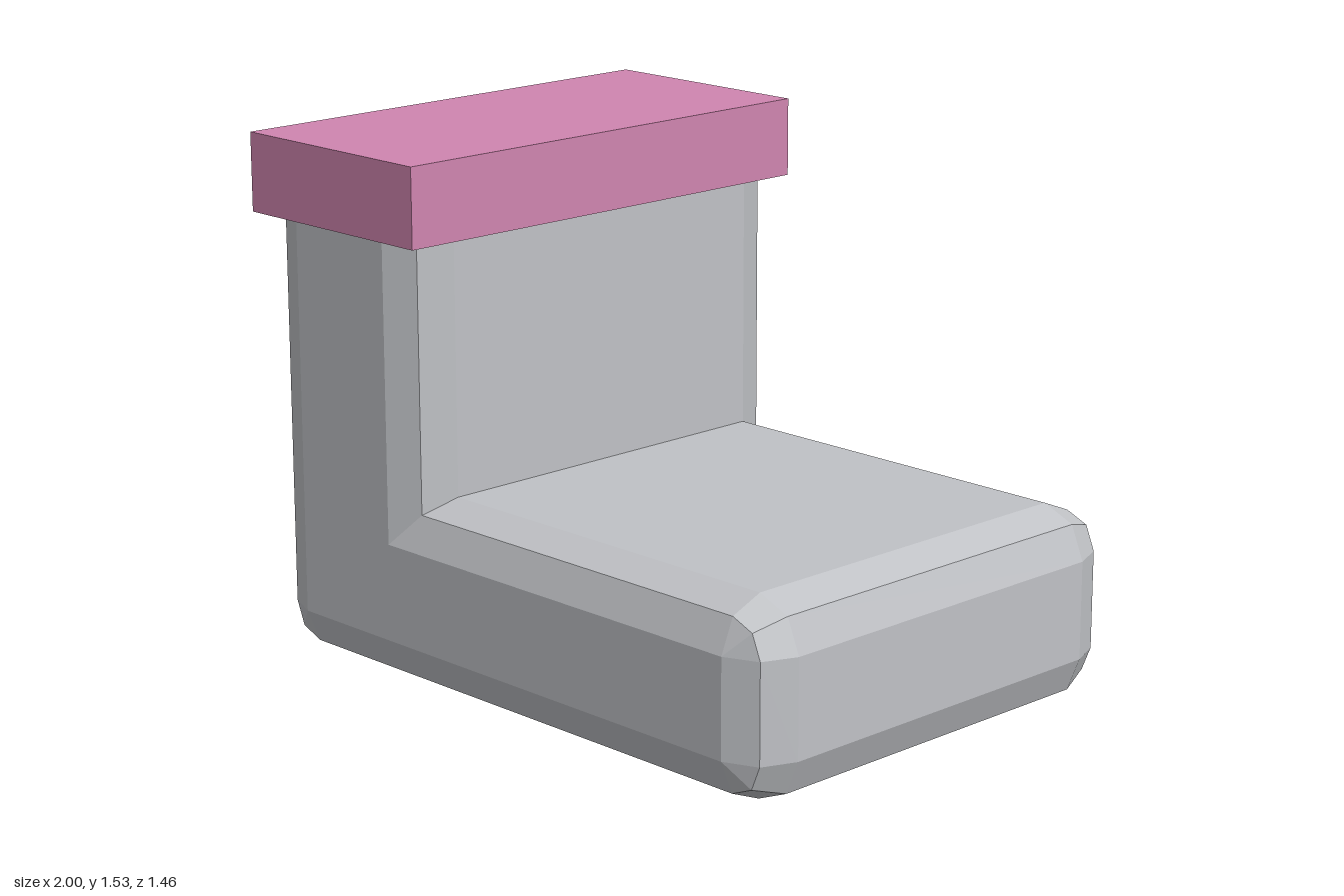
import * as THREE from 'three';

const R = 0.14; // bevel size of the body
const K = R * (1 - Math.SQRT1_2);

// L outline, counter-clockwise: x, y, start angle of the rounded corner (null = sharp inner corner)
const CORNERS = [
  [-0.32, 0.565, null],
  [-0.32, 1.5, 0],
  [-0.975, 1.5, Math.PI / 2],
  [-0.975, 0, Math.PI],
  [1, 0, Math.PI * 1.5],
  [1, 0.565, 0],
];

// L outline shrunk by d at depth z
function ring(z, d) {
  const points = [];
  for (const [x, y, start] of CORNERS) {
    if (start === null) {
      points.push(new THREE.Vector3(x - d, y - d, z));
      continue;
    }
    const mid = start + Math.PI / 4;
    const cx = x - R * Math.sign(Math.cos(mid));
    const cy = y - R * Math.sign(Math.sin(mid));
    for (let i = 0; i <= 2; i++) {
      const a = start + (i * Math.PI) / 4;
      points.push(new THREE.Vector3(cx + (R - d) * Math.cos(a), cy + (R - d) * Math.sin(a), z));
    }
  }
  return points;
}

function bodyGeometry(halfDepth) {
  const rings = [
    ring(-halfDepth, R), ring(-halfDepth + K, K), ring(-halfDepth + R, 0),
    ring(halfDepth - R, 0), ring(halfDepth - K, K), ring(halfDepth, R),
  ];
  const positions = [];
  const tri = (a, b, c) => {
    const area = b.clone().sub(a).cross(c.clone().sub(a)).length();
    if (area > 1e-7) for (const p of [a, b, c]) positions.push(p.x, p.y, p.z);
  };
  const n = rings[0].length;
  // bevelled walls between the rings
  for (let k = 0; k < rings.length - 1; k++) {
    const back = rings[k], front = rings[k + 1];
    for (let i = 0; i < n; i++) {
      const j = (i + 1) % n;
      tri(back[i], back[j], front[j]);
      tri(back[i], front[j], front[i]);
    }
  }
  // flat ends, fanned from the inner corner
  const first = rings[0], last = rings[rings.length - 1];
  for (let i = 1; i < n - 1; i++) {
    tri(last[0], last[i], last[i + 1]);
    tri(first[0], first[i + 1], first[i]);
  }
  const geometry = new THREE.BufferGeometry();
  geometry.setAttribute('position', new THREE.Float32BufferAttribute(positions, 3));
  geometry.computeVertexNormals();
  return geometry;
}

export function createModel() {
  const grey = new THREE.MeshStandardMaterial({ color: 0xc0c2c6 });
  grey.name = 'grey';
  const pink = new THREE.MeshStandardMaterial({ color: 0xd085b0 });
  pink.name = 'pink';

  const group = new THREE.Group();
  group.name = 'boot';

  // L-shaped shaft and foot
  const body = new THREE.Mesh(bodyGeometry(0.705), grey);
  body.name = 'shaftAndFoot';
  group.add(body);

  // band around the top of the shaft
  const cuff = new THREE.Mesh(new THREE.BoxGeometry(0.7, 0.23, 1.46), pink);
  cuff.name = 'cuff';
  cuff.position.set(-0.65, 1.415, 0);
  group.add(cuff);

  return group;
}
